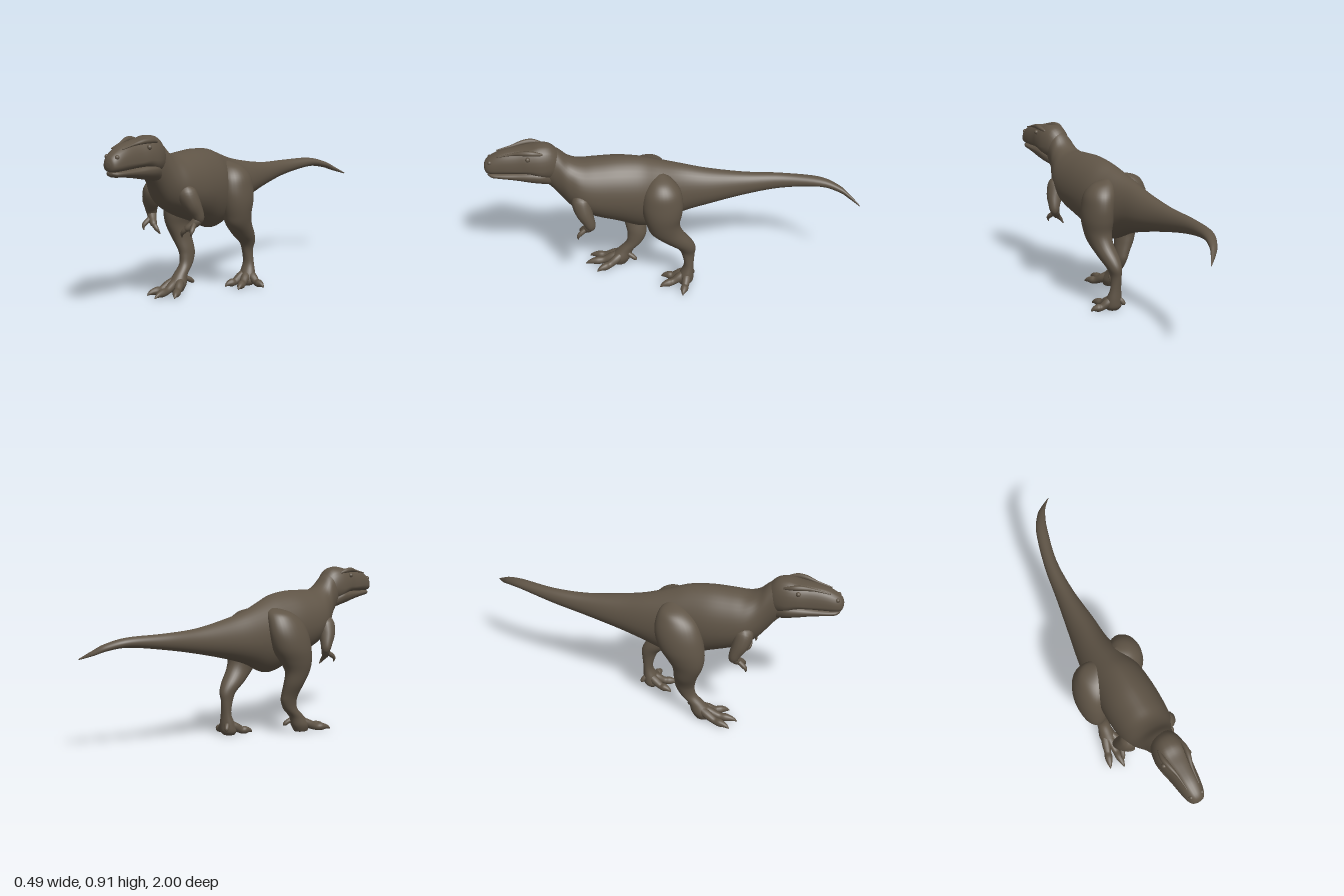
import * as THREE from 'three';

const V = (x, y, z) => new THREE.Vector3(x, y, z);

// Smooth interpolation of every number in a list of cross-sections
function sample(list, t) {
  const n = list.length - 1;
  const i = Math.min(Math.floor(t * n), n - 1), f = t * n - i;
  const [a, b, c, d] = [i - 1, i, i + 1, i + 2].map(j => list[Math.max(0, Math.min(n, j))]);
  return b.map((p, k) => p + 0.5 * f * (c[k] - a[k]
    + f * (2 * a[k] - 5 * p + 4 * c[k] - d[k] + f * (3 * (p - c[k]) + d[k] - a[k]))));
}

// Closed skin over rings; ring(section, angle, tangent) gives a point
function loft(list, ring, segs = 28, steps = 5) {
  const rows = (list.length - 1) * steps, pos = [], idx = [];
  for (let i = 0; i <= rows; i++) {
    const t = i / rows, s = sample(list, t);
    const p = sample(list, Math.max(0, t - 0.01)), q = sample(list, Math.min(1, t + 0.01));
    const tan = V(q[0] - p[0], q[1] - p[1], q[2] - p[2]).normalize();
    for (let j = 0; j < segs; j++) pos.push(...ring(s, j / segs * Math.PI * 2, tan).toArray());
  }
  for (let i = 0; i < rows; i++) for (let j = 0; j < segs; j++) {
    const a = i * segs + j, b = i * segs + (j + 1) % segs;
    idx.push(a, b, a + segs, b, b + segs, a + segs);
  }
  // end caps
  for (const row of [0, rows]) {
    const c = V(0, 0, 0), centre = pos.length / 3;
    for (let j = 0; j < segs; j++) c.add(V().fromArray(pos, (row * segs + j) * 3));
    pos.push(...c.divideScalar(segs).toArray());
    for (let j = 0; j < segs; j++) {
      const a = row * segs + j, b = row * segs + (j + 1) % segs;
      if (row) idx.push(a, b, centre); else idx.push(b, a, centre);
    }
  }
  // turn the skin outward if its signed volume is negative
  let vol = 0;
  const P = i => V().fromArray(pos, i * 3);
  for (let i = 0; i < idx.length; i += 3) vol += P(idx[i]).dot(P(idx[i + 1]).cross(P(idx[i + 2])));
  if (vol < 0) idx.reverse();
  const g = new THREE.BufferGeometry();
  g.setAttribute('position', new THREE.Float32BufferAttribute(pos, 3));
  g.setIndex(idx);
  g.computeVertexNormals();
  return g;
}

// Upright section: z, centre x, bottom, top, half width, height of widest point, squareness
function trunkRing([z, x, lo, hi, w, k, e], a) {
  const c = Math.cos(a), s = Math.sin(a), mid = lo + (hi - lo) * k;
  return V(x + w * Math.sign(c) * Math.abs(c) ** e, mid + s * (s > 0 ? hi - mid : mid - lo), z);
}
// Level section: y, centre x, centre z, radius x, radius z
const legRing = ([y, x, z, rx, rz], a) => V(x + rx * Math.cos(a), y, z + rz * Math.sin(a));
// Round section: x, y, z, radius
const tubeRing = ref => ([x, y, z, r], a, t) => {
  const u = ref.clone().cross(t).normalize(), v = t.clone().cross(u);
  return V(x, y, z).addScaledVector(u, r * Math.cos(a)).addScaledVector(v, r * Math.sin(a));
};

export function createModel() {
  const group = new THREE.Group();
  const hide = new THREE.MeshStandardMaterial({ color: 0x5f5446 });
  hide.name = 'brown hide';
  const add = (name, geo, parent = group) => {
    const m = new THREE.Mesh(geo, hide);
    m.name = name;
    parent.add(m);
    return m;
  };
  const tube = (name, pts, ref, parent) => add(name, loft(pts, tubeRing(ref), 14, 5), parent);

  // Tail, trunk and neck in one skin
  add('body', loft([
    [-1.0, 0.21, 0.518, 0.524, 0.003, 0.5, 1],
    [-0.95, 0.155, 0.54, 0.567, 0.017, 0.5, 1],
    [-0.9, 0.115, 0.562, 0.6, 0.026, 0.5, 1],
    [-0.8, 0.066, 0.576, 0.628, 0.034, 0.5, 1],
    [-0.6, 0.014, 0.55, 0.635, 0.038, 0.5, 1],
    [-0.4, -0.004, 0.512, 0.645, 0.052, 0.48, 1],
    [-0.2, -0.012, 0.465, 0.678, 0.08, 0.45, 1.05],
    [-0.05, -0.02, 0.42, 0.715, 0.1, 0.45, 1.05],
    [0.08, -0.01, 0.362, 0.758, 0.128, 0.5, 1.1],
    [0.18, 0, 0.36, 0.79, 0.143, 0.52, 1.15],
    [0.3, 0, 0.41, 0.803, 0.152, 0.48, 1.1],
    [0.42, 0, 0.455, 0.8, 0.15, 0.45, 1.05],
    [0.5, 0, 0.495, 0.798, 0.138, 0.45, 1],
    [0.56, 0, 0.535, 0.825, 0.108, 0.45, 1],
    [0.61, 0, 0.595, 0.872, 0.083, 0.5, 0.95],
    [0.66, 0.002, 0.66, 0.895, 0.07, 0.5, 0.95],
    [0.72, 0.004, 0.71, 0.88, 0.05, 0.5, 1],
  ], trunkRing, 40));

  // Head: skull, lower jaw and facial ridges
  const head = new THREE.Group();
  head.name = 'head';
  head.position.x = 0.004;
  group.add(head);
  add('skull', loft([
    [0.58, 0, 0.7, 0.83, 0.04, 0.5, 0.9],
    [0.64, 0, 0.71, 0.9, 0.073, 0.45, 0.85],
    [0.7, 0, 0.73, 0.916, 0.088, 0.35, 0.75],
    [0.76, 0, 0.76, 0.905, 0.085, 0.3, 0.65],
    [0.82, 0, 0.766, 0.9, 0.073, 0.25, 0.7],
    [0.9, 0, 0.764, 0.888, 0.062, 0.3, 0.75],
    [0.96, 0, 0.763, 0.862, 0.05, 0.35, 0.8],
    [0.99, 0, 0.768, 0.838, 0.034, 0.4, 0.9],
    [1.0, 0, 0.79, 0.812, 0.012, 0.5, 1],
  ], trunkRing), head);
  add('lowerJaw', loft([
    [0.64, 0, 0.67, 0.77, 0.055, 0.5, 0.9],
    [0.7, 0, 0.69, 0.785, 0.082, 0.6, 0.8],
    [0.76, 0, 0.703, 0.785, 0.08, 0.6, 0.75],
    [0.84, 0, 0.72, 0.775, 0.064, 0.6, 0.75],
    [0.92, 0, 0.733, 0.77, 0.051, 0.6, 0.75],
    [0.965, 0, 0.738, 0.768, 0.038, 0.6, 0.8],
    [0.985, 0, 0.75, 0.764, 0.015, 0.6, 1],
  ], trunkRing), head);
  for (const s of [1, -1]) {
    tube('browRidge', [[s * 0.06, 0.885, 0.69, 0.006], [s * 0.064, 0.897, 0.74, 0.013],
      [s * 0.056, 0.898, 0.79, 0.013], [s * 0.042, 0.888, 0.85, 0.007],
      [s * 0.034, 0.872, 0.93, 0.003]], V(0, 1, 0), head);
    const eye = add('eye', new THREE.SphereGeometry(0.013, 16, 12), head);
    eye.position.set(s * 0.072, 0.868, 0.768);
    const nostril = add('nostril', new THREE.SphereGeometry(0.012, 14, 10), head);
    nostril.position.set(s * 0.031, 0.838, 0.968);
  }

  // Arms with two-clawed hands
  for (const s of [1, -1]) {
    const arm = new THREE.Group();
    arm.name = s > 0 ? 'leftArm' : 'rightArm';
    group.add(arm);
    const part = (name, pts) => tube(name, pts.map(([x, y, z, r]) => [s * x, y, z, r]), V(1, 0, 0), arm);
    part('upperArm', [[0.09, 0.65, 0.5, 0.02], [0.105, 0.61, 0.505, 0.05], [0.13, 0.55, 0.492, 0.047],
      [0.148, 0.5, 0.47, 0.034], [0.152, 0.465, 0.46, 0.026], [0.147, 0.445, 0.46, 0.01]]);
    part('forearm', [[0.155, 0.485, 0.455, 0.014], [0.148, 0.463, 0.465, 0.025],
      [0.128, 0.438, 0.485, 0.022], [0.108, 0.42, 0.503, 0.017], [0.1, 0.41, 0.508, 0.008]]);
    part('innerClaw', [[0.115, 0.426, 0.5, 0.014], [0.092, 0.407, 0.508, 0.013],
      [0.078, 0.39, 0.507, 0.009], [0.07, 0.37, 0.496, 0.002]]);
    part('outerClaw', [[0.14, 0.445, 0.485, 0.014], [0.15, 0.425, 0.515, 0.013],
      [0.154, 0.408, 0.53, 0.009], [0.15, 0.388, 0.53, 0.002]]);
  }

  // Legs: the left planted behind, the right striding ahead
  const legs = {
    left: [
      [0.715, 0.06, 0.07, 0.01, 0.015], [0.69, 0.085, 0.07, 0.06, 0.06],
      [0.64, 0.108, 0.068, 0.082, 0.098], [0.57, 0.122, 0.068, 0.083, 0.111],
      [0.5, 0.125, 0.068, 0.084, 0.106], [0.43, 0.125, 0.065, 0.074, 0.09],
      [0.37, 0.123, 0.042, 0.062, 0.087], [0.3, 0.113, -0.022, 0.053, 0.073],
      [0.25, 0.108, -0.065, 0.04, 0.051], [0.2, 0.103, -0.076, 0.029, 0.036],
      [0.13, 0.107, -0.079, 0.032, 0.027], [0.07, 0.11, -0.066, 0.045, 0.04],
      [0.03, 0.11, -0.058, 0.048, 0.045], [0.008, 0.11, -0.055, 0.034, 0.032],
    ],
    right: [
      [0.725, -0.07, 0.11, 0.01, 0.015], [0.7, -0.105, 0.12, 0.065, 0.07],
      [0.65, -0.135, 0.14, 0.078, 0.11], [0.58, -0.152, 0.155, 0.086, 0.128],
      [0.5, -0.157, 0.175, 0.089, 0.126], [0.43, -0.163, 0.2, 0.074, 0.105],
      [0.37, -0.165, 0.212, 0.057, 0.082], [0.3, -0.15, 0.2, 0.05, 0.066],
      [0.24, -0.128, 0.193, 0.041, 0.057], [0.2, -0.118, 0.192, 0.036, 0.053],
      [0.15, -0.113, 0.21, 0.033, 0.045], [0.1, -0.115, 0.258, 0.037, 0.045],
      [0.05, -0.115, 0.29, 0.047, 0.06], [0.012, -0.115, 0.295, 0.034, 0.042],
    ],
  };
  // Toe ends: x, y, z for root and tip
  const toes = {
    left: [[[0.12, 0.08, -0.07], [0.238, 0.018, -0.03]], [[0.11, 0.075, -0.065], [0.15, 0.015, 0.088]],
      [[0.095, 0.075, -0.065], [0.052, 0.015, 0.07]]],
    right: [[[-0.13, 0.075, 0.28], [-0.19, 0.02, 0.46]], [[-0.115, 0.075, 0.28], [-0.115, 0.018, 0.49]],
      [[-0.1, 0.075, 0.28], [-0.03, 0.02, 0.43]]],
  };
  const spurs = {
    left: [[0.09, 0.075, -0.085], [0.07, 0.045, -0.112]],
    right: [[-0.09, 0.08, 0.245], [-0.068, 0.055, 0.2]],
  };
  for (const side of ['left', 'right']) {
    const leg = new THREE.Group();
    leg.name = side + 'Leg';
    group.add(leg);
    add('thighAndShin', loft(legs[side], legRing, 30), leg);
    // profile along each toe: progress, height, radius
    const toe = (name, [a, b], prof) => tube(name, prof.map(([t, y, r]) =>
      [a[0] + (b[0] - a[0]) * t, y, a[2] + (b[2] - a[2]) * t, r]), V(0, 1, 0), leg);
    for (const ends of toes[side]) toe('toe', ends, [[0, 0.075, 0.02], [0.25, 0.052, 0.025],
      [0.5, 0.031, 0.02], [0.68, 0.028, 0.022], [0.82, 0.026, 0.016], [0.93, 0.02, 0.009], [1, 0.012, 0.002]]);
    const y = spurs[side].map(p => p[1]);
    toe('backToe', spurs[side], [[0, y[0], 0.014], [0.5, (y[0] + y[1]) / 2, 0.014],
      [0.85, y[1], 0.011], [1, y[1] - 0.006, 0.003]]);
  }
  return group;
}
